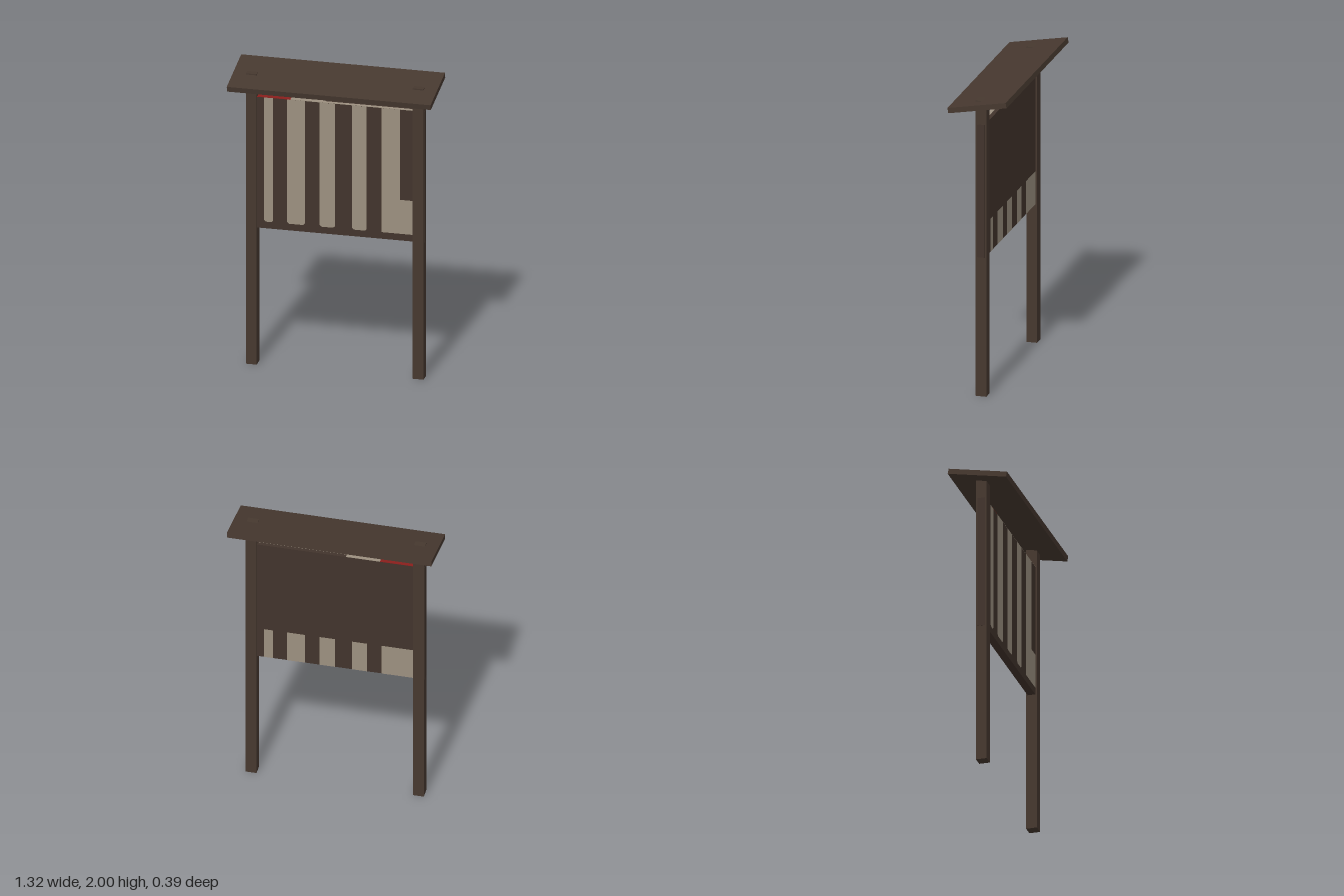
import * as THREE from 'three';

function material(name, color) {
  const m = new THREE.MeshStandardMaterial({ color });
  m.name = name;
  return m;
}

export function createModel() {
  const wood = material('dark wood', 0x46382f);
  const board = material('board brown', 0x42342c);
  const pale = material('pale beige', 0x9c9080);
  const red = material('red', 0x8a1f1c);

  const model = new THREE.Group();
  model.name = 'noticeBoard';

  function add(name, geometry, mat, x = 0, y = 0, z = 0, parent = model) {
    const mesh = new THREE.Mesh(geometry, mat);
    mesh.name = name;
    mesh.position.set(x, y, z);
    parent.add(mesh);
    return mesh;
  }

  // Two square posts, their tops just piercing the roof
  const postHeight = 1.966;
  for (const [side, s] of [['left', 1], ['right', -1]]) {
    add(side + 'Post', new THREE.BoxGeometry(0.07, postHeight, 0.07), wood, s * 0.54, postHeight / 2, 0);
  }

  // Roof plank sloping down to the front
  const roof = add('roof', new THREE.BoxGeometry(1.32, 0.035, 0.39), wood, 0, 1.947, 0);
  roof.rotation.x = 0.186;

  // Board hung between the posts, its ends just past their outer sides
  const bottom = 0.925, top = 1.81, depth = 0.05;
  add('panel', new THREE.BoxGeometry(1.156, top - bottom, depth), board, 0, (top + bottom) / 2, 0);

  // Painted stripe with small clipped lower corners
  function stripe(x0, x1, y0, y1, clip) {
    const s = new THREE.Shape();
    s.moveTo(x0 + clip, y0);
    s.lineTo(x1 - clip, y0);
    s.lineTo(x1, y0 + clip);
    s.lineTo(x1, y1);
    s.lineTo(x0, y1);
    s.lineTo(x0, y0 + clip);
    return new THREE.ShapeGeometry(s);
  }
  const spans = [[-0.46, -0.4], [-0.31, -0.195], [-0.1, 0], [0.11, 0.205]];
  const face = depth / 2 + 0.001;

  const front = new THREE.Group();
  front.name = 'frontStripes';
  spans.forEach(([a, b]) => add('frontStripe', stripe(a, b, 0.97, top, 0.012), pale, 0, 0, face, front));
  add('wideStripe', stripe(0.3, 0.42, 0.97, top, 0), pale, 0, 0, face, front);
  add('wideStripeFoot', stripe(0.42, 0.505, 0.97, 1.2, 0), pale, 0, 0, face, front);
  model.add(front);

  // Short stripes along the foot of the back
  const back = new THREE.Group();
  back.name = 'backStripes';
  [...spans, [0.3, 0.505]].forEach(([a, b]) =>
    add('backStripe', stripe(a, b, bottom, 1.145, 0), pale, 0, 0, face, back));
  back.rotation.y = Math.PI;
  model.add(back);

  // Painted upper edge of the board
  function edgePaint(name, x0, x1, z0, z1, mat) {
    add(name, new THREE.BoxGeometry(x1 - x0, 0.002, z1 - z0), mat, (x0 + x1) / 2, top + 0.001, (z0 + z1) / 2);
  }
  edgePaint('paleEdgeNarrow', -0.07, 0.505, 0, 0.025, pale);
  edgePaint('paleEdge', -0.29, -0.07, -0.025, 0.025, pale);
  edgePaint('redEdge', -0.505, -0.29, -0.025, 0.025, red);

  return model;
}
